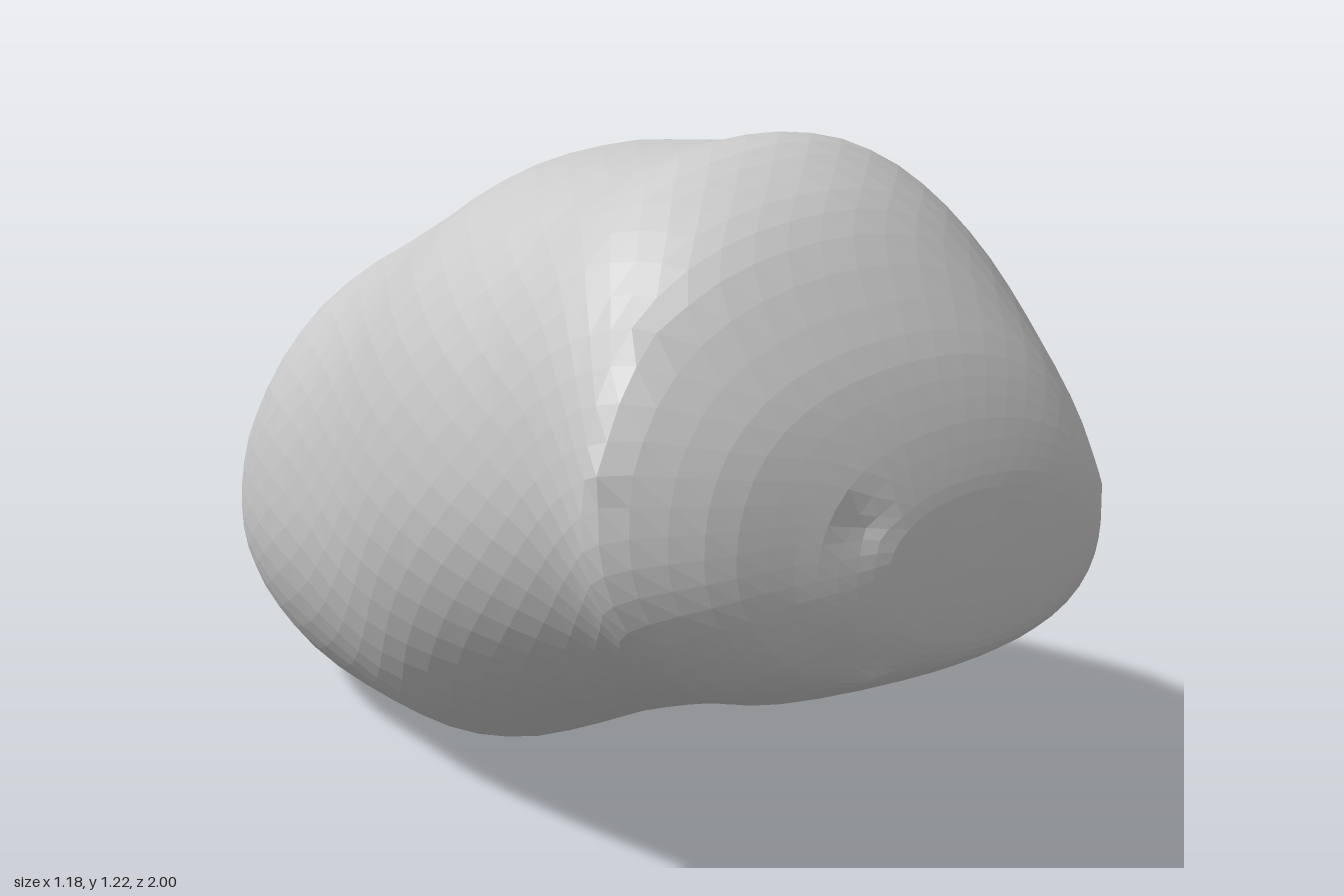
import * as THREE from 'three';

// Cross-sections from back to front: z, xMin, xMax, yMin, yMax
const SECTIONS = [
  [-1, 0.24, 0.24, 0.3, 0.3],
  [-0.985, 0.155, 0.315, 0.22, 0.38],
  [-0.95, 0.08, 0.38, 0.165, 0.43],
  [-0.9, 0.02, 0.44, 0.11, 0.5],
  [-0.8, -0.07, 0.52, 0.045, 0.6],
  [-0.6, -0.175, 0.583, 0.005, 0.775],
  [-0.4, -0.235, 0.588, 0.003, 0.885],
  [-0.2, -0.31, 0.58, 0.035, 0.985],
  [0, -0.39, 0.545, 0.12, 1.08],
  [0.2, -0.45, 0.47, 0.215, 1.13],
  [0.4, -0.5, 0.405, 0.3, 1.175],
  [0.58, -0.545, 0.34, 0.37, 1.225],
  [0.7, -0.57, 0.305, 0.41, 1.195],
  [0.8, -0.585, 0.275, 0.445, 1.125],
  [0.9, -0.48, 0.25, 0.485, 1.0],
  [0.95, -0.36, 0.23, 0.51, 0.905],
  [0.98, -0.27, 0.2, 0.54, 0.82],
  [0.993, -0.19, 0.12, 0.59, 0.76],
  [1, -0.06, -0.06, 0.67, 0.67],
];

// Small pinched tips around the rim of the blunt end, and a shallow pit in it
const TIPS = [
  [0.25, 0.725, 0.945],
  [-0.22, 0.51, 0.965],
  [-0.595, 0.86, 0.8],
  [-0.515, 1.06, 0.79],
  [-0.25, 0.76, 0.955],
].map((p) => new THREE.Vector3(...p));

const SIDES = 44;
const RINGS = 54;

function buildBody() {
  const centres = new THREE.CatmullRomCurve3(
    SECTIONS.map(([z, x0, x1, y0, y1]) => new THREE.Vector3((x0 + x1) / 2, (y0 + y1) / 2, z)),
    false, 'catmullrom');
  const radii = new THREE.CatmullRomCurve3(
    SECTIONS.map(([, x0, x1, y0, y1]) => new THREE.Vector3((x1 - x0) / 2, (y1 - y0) / 2, 0)),
    false, 'catmullrom');

  const positions = [];
  const index = [];
  const v = new THREE.Vector3();
  for (let i = 0; i <= RINGS; i++) {
    const c = centres.getPoint(i / RINGS);
    const r = radii.getPoint(i / RINGS);
    for (let j = 0; j < SIDES; j++) {
      // Stagger alternate rings for an even, faceted skin
      const a = ((j + (i % 2) * 0.5) / SIDES) * Math.PI * 2;
      // Fuller in the lower right and upper left of the section
      const s = Math.sin(2 * a);
      const bulge = s < 0 ? 1 + 0.06 * s * s : 1;
      v.set(c.x + r.x * bulge * Math.cos(a), Math.max(0, c.y + r.y * bulge * Math.sin(a)), c.z);
      for (const tip of TIPS) {
        v.lerp(tip, 0.7 * Math.exp(-v.distanceToSquared(tip) / 0.0012));
      }
      positions.push(v.x, v.y, v.z);

      if (i < RINGS) {
        const k = (j + 1) % SIDES;
        const p = i * SIDES + j, q = i * SIDES + k;
        const pn = p + SIDES, qn = q + SIDES;
        // Diagonals follow the stagger; collapsed triangles at the poles are left out
        const tris = i % 2 ? [[p, q, qn], [p, qn, pn]] : [[p, q, pn], [q, qn, pn]];
        for (const t of tris) {
          const onPole = (ring) => t.filter((n) => Math.floor(n / SIDES) === ring).length > 1;
          if (!onPole(0) && !onPole(RINGS)) index.push(...t);
        }
      }
    }
  }
  const geometry = new THREE.BufferGeometry();
  geometry.setAttribute('position', new THREE.Float32BufferAttribute(positions, 3));
  geometry.setIndex(index);
  geometry.computeVertexNormals();
  return geometry;
}

export function createModel() {
  const group = new THREE.Group();
  group.name = 'roundedLog';
  const grey = new THREE.MeshStandardMaterial({ color: 0xcccccc, flatShading: true });
  grey.name = 'light grey';
  const body = new THREE.Mesh(buildBody(), grey);
  body.name = 'body';
  group.add(body);
  return group;
}
